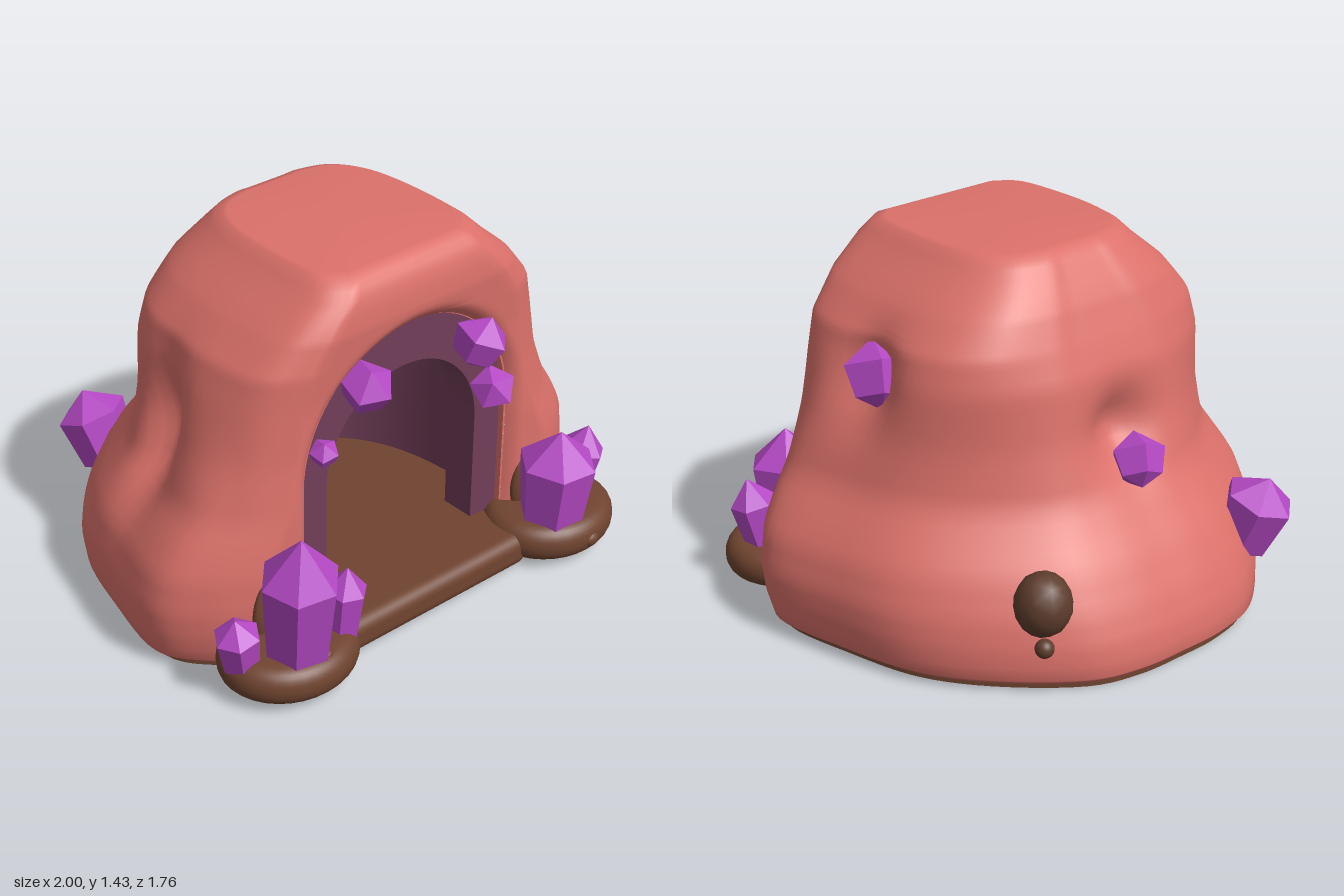
import * as THREE from 'three';
import { mergeVertices } from 'three/addons/utils/BufferGeometryUtils.js';
import { RoundedBoxGeometry } from 'three/addons/geometries/RoundedBoxGeometry.js';

const paint = (name, color) => Object.assign(new THREE.MeshStandardMaterial({ color }), { name });
const clay = paint('clay red rock', 0xdc716a);
const earth = paint('brown earth', 0x704430);
const darkRock = paint('dark brown stone', 0x5e3d2d);
const plum = paint('dark plum lining', 0x723e59);
const violet = paint('violet crystal', 0xb549c5);
plum.side = THREE.DoubleSide;

const V = (a) => new THREE.Vector3(...a);
const points2 = (list) => list.map((p) => new THREE.Vector2(...p));

function add(group, name, geometry, material, pos = [0, 0, 0], scale = [1, 1, 1]) {
  const m = new THREE.Mesh(geometry, material);
  m.name = name;
  m.position.set(...pos);
  m.scale.set(...scale);
  group.add(m);
  return m;
}

// Mound profile by height: y, half width, front z, back z
const PROFILE = [
  [0.02, 0.92, 0.53, -0.85], [0.05, 0.965, 0.54, -0.88], [0.15, 0.99, 0.55, -0.865], [0.26, 1.0, 0.55, -0.82],
  [0.4, 0.97, 0.55, -0.74], [0.5, 0.91, 0.55, -0.665], [0.6, 0.84, 0.55, -0.6], [0.8, 0.765, 0.54, -0.54],
  [1.0, 0.71, 0.54, -0.5], [1.12, 0.665, 0.55, -0.45], [1.25, 0.545, 0.56, -0.39], [1.35, 0.425, 0.545, -0.32],
  [1.4, 0.375, 0.51, -0.28], [1.42, 0.345, 0.46, -0.23], [1.432, 0, 0.1, 0.1],
];
// Half outline from front corner to mid back: share of width, share of depth
const outline = (pts) => new THREE.SplineCurve(points2(pts));
const BASE_OUTLINE = outline([[0.72, 0.005], [0.88, 0.08], [1, 0.2], [0.95, 0.42], [0.86, 0.63], [0.68, 0.8], [0.42, 0.95], [0.2, 0.995], [0, 1]]);
const TOP_OUTLINE = outline([[0.72, 0], [0.94, 0.1], [1, 0.33], [0.99, 0.62], [0.9, 0.82], [0.7, 0.95], [0.4, 1], [0.2, 1], [0, 1]]);
// Hollows pressed into the rock: centre, radii, push
const DENTS = [
  [[0.7, 0.99, 0.07], [0.2, 0.16, 0.12], [-0.1, 0, 0]],
  [[-0.76, 0.75, 0], [0.25, 0.26, 0.1], [0.12, 0, 0]],
  [[0, 0.78, -0.55], [0.14, 0.13, 0.25], [0, 0, 0.1]],
];
const SPRING = 0.65, APEX = 1.16, DOOR = 0.49;

const archHalf = (y) => (y < SPRING ? DOOR : DOOR * Math.sqrt(Math.max(0, 1 - ((y - SPRING) / (APEX - SPRING)) ** 2)));

// The rock face rolls inward close to the doorway
function doorRoll(x, y) {
  const rise = Math.max(0, y - SPRING) / (APEX - SPRING);
  const gap = Math.max(0, Math.hypot(x / DOOR, rise) - 1) * DOOR;
  return 0.04 * Math.max(0, 1 - gap / 0.06) ** 2;
}

function profileAt(y) {
  let i = 1;
  while (i < PROFILE.length - 1 && PROFILE[i][0] < y) i++;
  const a = PROFILE[i - 1], b = PROFILE[i];
  const t = THREE.MathUtils.clamp((y - a[0]) / (b[0] - a[0]), 0, 1);
  return a.map((v, k) => v + (b[k] - v) * t);
}

// One side of a level, from door edge round to the middle of the back, then mirrored
function ringAt(y, doorEdge) {
  const [, w, zf, zb] = profileAt(y);
  const k = THREE.MathUtils.smoothstep(y, 0.5, 1.35);
  const half = [];
  for (let i = 0; i < 12; i++) {
    const x = doorEdge + (0.72 * w - doorEdge) * (i / 12) ** 1.4;
    half.push([x, y, zf - doorRoll(x, y)]);
  }
  for (let i = 0; i <= 44; i++) {
    const p = BASE_OUTLINE.getPoint(i / 44).lerp(TOP_OUTLINE.getPoint(i / 44), k);
    half.push([p.x * w, y, zf + (zb - zf) * p.y]);
  }
  const other = half.slice(0, -1).reverse().map(([x, h, z]) => [-x, h, z]);
  return [...half, ...other].map((p) => {
    const out = V(p);
    for (const [c, r, d] of DENTS) {
      const q = p.reduce((s, v, n) => s + ((v - c[n]) / r[n]) ** 2, 0);
      out.addScaledVector(V(d), Math.exp(-q));
    }
    return out;
  });
}

function moundGeometry() {
  const levels = [0.02, 0.035, 0.05, 0.1];
  for (let y = 0.15; y < 0.64; y += 0.04) levels.push(y);
  for (let i = 0; i <= 18; i++) levels.push(SPRING + (APEX - SPRING) * Math.sin((i / 18) * Math.PI / 2));
  levels.push(1.175, 1.19, 1.205, 1.22, 1.25, 1.3, 1.35, 1.38, 1.4, 1.412, 1.42, 1.426, 1.432);
  const rings = levels.map((y) => ringAt(y, archHalf(y)));
  const n = rings[0].length, index = [];
  for (let j = 0; j < rings.length - 1; j++) {
    for (let i = 0; i < n - 1; i++) {
      const a = j * n + i, b = a + 1, c = b + n, d = a + n;
      index.push(a, b, c, a, c, d);
    }
  }
  const g = new THREE.BufferGeometry().setFromPoints(rings.flat());
  g.setIndex(index);
  const merged = mergeVertices(g, 1e-4);
  merged.computeVertexNormals();
  return merged;
}

// Arch outline standing on the floor
function archPath(PathType, w, top, spring, foot) {
  const p = new PathType();
  p.moveTo(-w, foot);
  p.lineTo(w, foot);
  p.lineTo(w, spring);
  p.absellipse(0, spring, w, top - spring, 0, Math.PI, false);
  p.lineTo(-w, foot);
  return p;
}

function archRing(outer, inner, depth) {
  const s = archPath(THREE.Shape, ...outer);
  s.holes.push(archPath(THREE.Path, ...inner));
  return new THREE.ExtrudeGeometry(s, { depth, curveSegments: 28, bevelEnabled: false });
}

// Half dome behind the door frame, with steep walls and a shallow crown
function chamberGeometry() {
  const wall = points2([[0.51, 0.12], [0.51, 0.6], [0.5, 0.8], [0.46, 0.95], [0.36, 1.06], [0.2, 1.13], [0.001, 1.15]]);
  const g = new THREE.LatheGeometry(wall, 32, Math.PI / 2, Math.PI);
  const p = g.attributes.position;
  for (let i = 0; i < p.count; i++) {
    const x = p.getX(i), z = p.getZ(i), r = Math.hypot(x, z);
    p.setZ(i, -1.47 * r * Math.abs(z / r) ** 0.7);
  }
  g.computeVertexNormals();
  return g;
}

// Faceted six-sided crystal from a foot point to a tip
function crystal(group, name, foot, tip, r, turn = 0, shoulder = 0.68) {
  const a = V(foot), dir = V(tip).sub(a), h = dir.length();
  const pts = points2([[0, 0], [r * 0.82, 0.01], [r, h * shoulder], [0, h]]);
  const g = new THREE.LatheGeometry(pts, 6, turn).toNonIndexed();
  g.computeVertexNormals();
  const m = add(group, name, g, violet, foot);
  m.quaternion.setFromUnitVectors(new THREE.Vector3(0, 1, 0), dir.normalize());
}

// Squat double-pointed gem set into the rock
function gem(group, name, pos, r, tilt) {
  const pts = points2([[0, -r], [0.75 * r, -0.6 * r], [0.98 * r, 0.3 * r], [0, r]]);
  const g = new THREE.LatheGeometry(pts, 5).toNonIndexed();
  g.computeVertexNormals();
  add(group, name, g, violet, pos).rotation.set(...tilt);
}

export function createModel() {
  const model = new THREE.Group();
  model.name = 'crystalCave';
  const ball = new THREE.SphereGeometry(1, 24, 16);

  // Rock mound and the inner edge of the doorway
  add(model, 'rockMound', moundGeometry(), clay);
  add(model, 'doorLip', archRing([0.495, 1.165, SPRING, 0.03], [0.486, 1.156, SPRING, 0.05], 0.12), clay, [0, 0, 0.385]);

  // Underside, floor and door sill
  const foot = ringAt(0.02, DOOR).map((p) => new THREE.Vector2(p.x, -p.z));
  const base = new THREE.ExtrudeGeometry(new THREE.Shape(foot), { depth: 0.02, bevelEnabled: false });
  base.rotateX(-Math.PI / 2);
  add(model, 'groundBase', base, earth, [0, 0.004, 0]);
  add(model, 'caveFloor', new THREE.BoxGeometry(1.04, 0.13, 0.92), earth, [0, 0.085, 0.01]);
  add(model, 'doorSill', new RoundedBoxGeometry(0.92, 0.135, 0.35, 4, 0.05), earth, [0, 0.083, 0.535]);

  // Door frame, chamber behind it and a small stud on its back wall
  add(model, 'doorFrame', archRing([0.488, 1.158, SPRING, 0.1], [0.36, 0.965, 0.6, 0.12], 0.14), plum, [0, 0, 0.34]);
  add(model, 'chamber', chamberGeometry(), plum, [0, 0, 0.35]);
  add(model, 'wallStud', new THREE.IcosahedronGeometry(0.042, 1), clay, [-0.005, 0.91, -0.34]);

  // Earth banks beside the door, each with a patch against the wall
  const bankProfile = outline([[0, -1], [0.7, -0.97], [0.93, -0.65], [1, 0], [0.93, 0.65], [0.7, 0.97], [0, 1]]);
  const bank = new THREE.LatheGeometry(bankProfile.getPoints(24), 32);
  for (const s of [-1, 1]) {
    add(model, 'earthBank', bank, earth, [s * 0.648, 0.108, 0.61], [0.268, 0.08, 0.235]);
    add(model, 'wallEarth', ball, earth, [s * 0.63, 0.24, 0.545], [0.12, 0.17, 0.04]);
  }
  add(model, 'pebble', ball, earth, [0.66, 0.1, 0.82], [0.04, 0.035, 0.035]);
  add(model, 'pebble', ball, earth, [-0.62, 0.175, 0.77], [0.035, 0.025, 0.035]);

  // Crystal clusters by the door
  crystal(model, 'tallLeftCrystal', [-0.67, 0.14, 0.69], [-0.71, 0.69, 0.76], 0.145, 0.3);
  crystal(model, 'shortInnerCrystal', [-0.47, 0.14, 0.69], [-0.46, 0.43, 0.71], 0.08, 0.2);
  crystal(model, 'shortOuterCrystal', [-0.85, 0.14, 0.6], [-0.89, 0.36, 0.62], 0.085, 0.5);
  crystal(model, 'tallRightCrystal', [0.59, 0.14, 0.68], [0.59, 0.55, 0.71], 0.15, 0.4);
  crystal(model, 'shortRightCrystal', [0.77, 0.14, 0.6], [0.83, 0.44, 0.63], 0.09, 0.1);

  // Gems around the arch
  gem(model, 'archGem', [-0.24, 1.0, 0.55], 0.1, [0.4, 0.3, 0.2]);
  gem(model, 'archGem', [0.3, 0.98, 0.55], 0.105, [0.3, 0.1, -0.3]);
  gem(model, 'archGem', [-0.415, 0.795, 0.53], 0.055, [0.2, 0.5, 0.3]);
  gem(model, 'archGem', [0.39, 0.74, 0.54], 0.088, [0.5, 0.2, 0.6]);

  // Side and rear crystals
  gem(model, 'sideGem', [0.625, 0.99, 0.07], 0.13, [0.4, 0.2, 0.2]);
  gem(model, 'rearGem', [-0.02, 0.69, -0.59], 0.105, [0.5, 0.3, 0.3]);
  crystal(model, 'rearCrystal', [-0.5, 0.22, -0.65], [-0.55, 0.5, -0.75], 0.135, 0.2, 0.7);

  // Rear stone with a pebble below it
  add(model, 'rearStone', new THREE.IcosahedronGeometry(1, 2), darkRock, [0.51, 0.335, -0.68], [0.105, 0.12, 0.105]);
  add(model, 'rearPebble', ball, darkRock, [0.53, 0.18, -0.71], [0.035, 0.035, 0.035]);
  return model;
}
